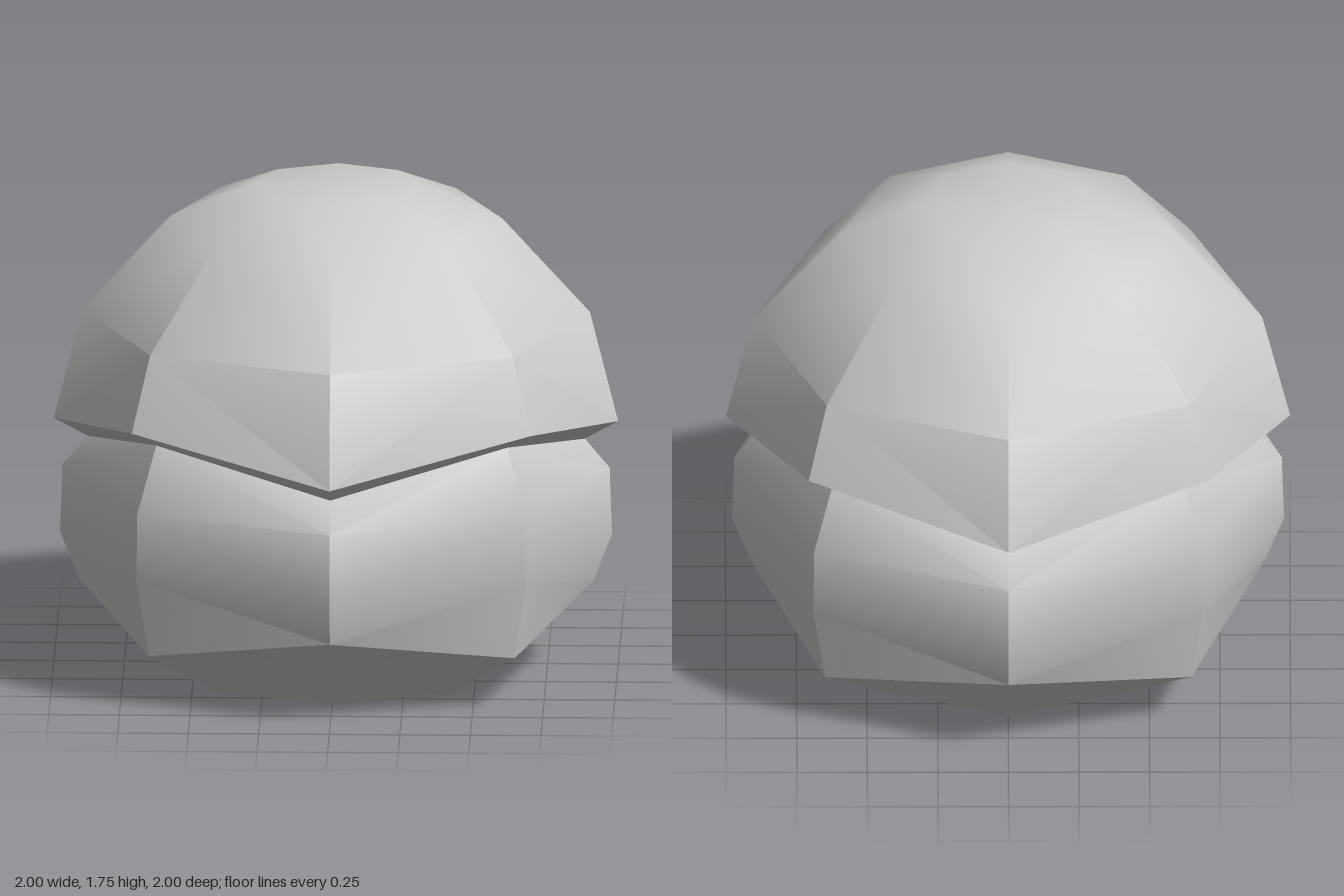
import * as THREE from 'three';
import { toCreasedNormals } from 'three/addons/utils/BufferGeometryUtils.js';

const SIDES = 8;
const material = new THREE.MeshStandardMaterial({ color: 0xcccccc, side: THREE.DoubleSide });

// Octagonal shell from rings, top to bottom: [axis radius, axis height, diagonal radius, diagonal height]
function shell(name, rings) {
  const pos = [];
  const point = (ring, k) => {
    const a = (k % SIDES) * Math.PI * 2 / SIDES;
    const [r, y] = k % 2 ? ring.slice(2) : ring;
    return [Math.sin(a) * r, y, Math.cos(a) * r];
  };
  for (let i = 0; i < rings.length - 1; i++) {
    for (let k = 0; k < SIDES; k++) {
      const tl = point(rings[i], k), tr = point(rings[i], k + 1);
      const bl = point(rings[i + 1], k), br = point(rings[i + 1], k + 1);
      if (rings[i][0] === 0) pos.push(...tl, ...bl, ...br);
      // mirror the split on alternate panels
      else if (k % 2) pos.push(...tl, ...bl, ...br, ...tl, ...br, ...tr);
      else pos.push(...tl, ...bl, ...tr, ...tr, ...bl, ...br);
    }
  }
  const geo = new THREE.BufferGeometry();
  geo.setAttribute('position', new THREE.Float32BufferAttribute(pos, 3));
  const mesh = new THREE.Mesh(toCreasedNormals(geo, THREE.MathUtils.degToRad(40)), material);
  mesh.name = name;
  return mesh;
}

export function createModel() {
  const model = new THREE.Group();
  model.name = 'domedShell';

  // Rings shared by neighbouring parts
  const rim = [1, 0.89, 1, 1.02];
  const neck = [0.88, 0.825, 0.88, 0.955];
  const hem = [0.912, 0.305, 0.917, 0.19];

  model.add(
    // Domed cap with a zigzag rim
    shell('cap', [
      [0, 1.75, 0, 1.75],
      [0.3, 1.75, 0.3, 1.75],
      [0.59, 1.63, 0.59, 1.63],
      [0.9, 1.29, 0.91, 1.29],
      rim,
    ]),
    // Underside of the cap rim
    shell('capLip', [rim, neck]),
    // Bulging middle band
    shell('body', [neck, [0.97, 0.72, 0.973, 0.72], [0.978, 0.475, 0.977, 0.475], hem]),
    // Tapered foot, open underneath
    shell('base', [hem, [0.8, 0.235, 0.81, 0.13], [0.59, 0, 0.59, 0]]),
  );
  return model;
}
